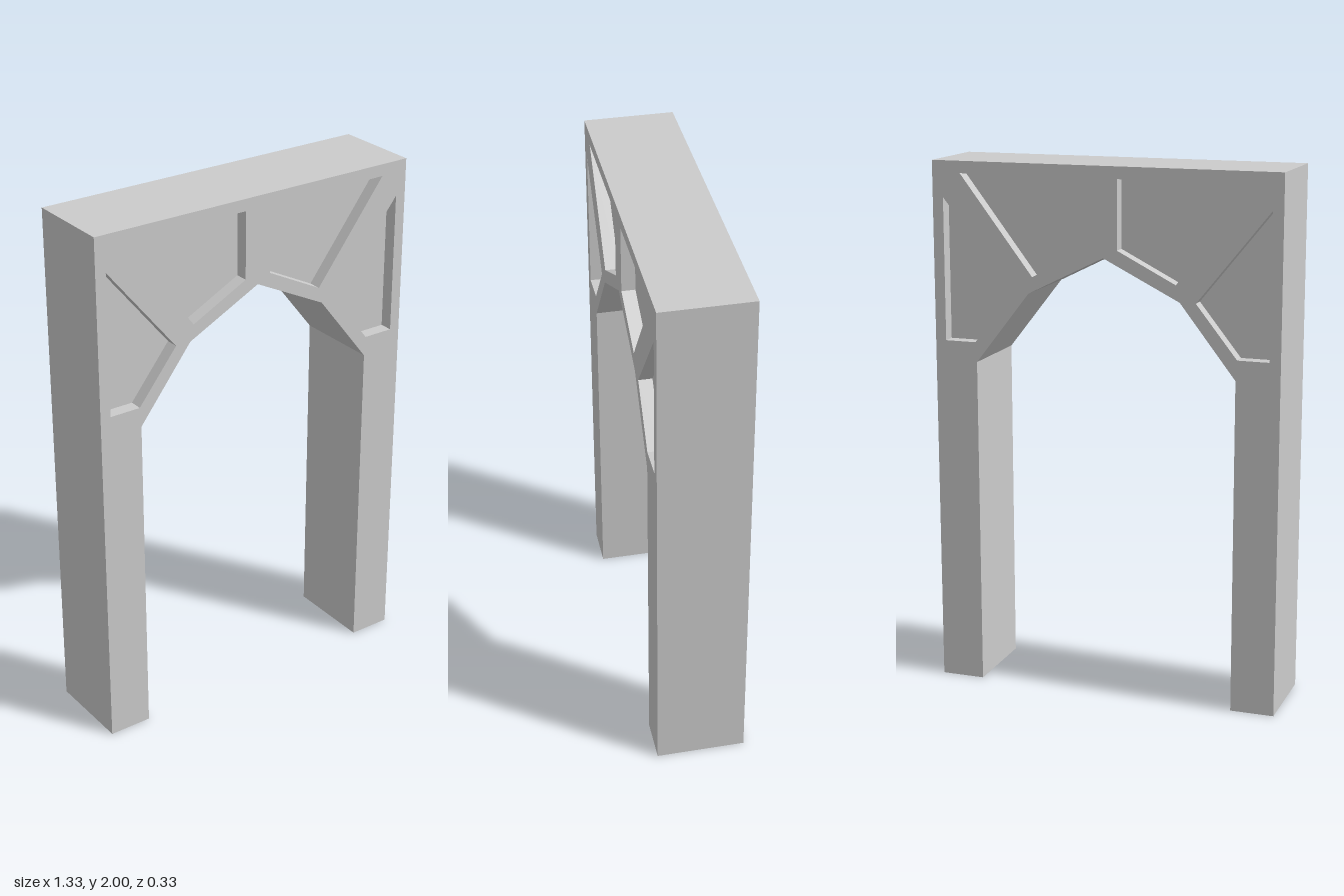
import * as THREE from 'three';

const HALF_DEPTH = 0.167;
const RECESS = 0.05;

const material = new THREE.MeshStandardMaterial({
  color: 0xcccccc, flatShading: true, side: THREE.DoubleSide,
});

const toVectors = (pts) => pts.map(([x, y]) => new THREE.Vector2(x, y));
const mirror = (pts) => pts.map(([x, y]) => [-x, y]).reverse();

function addMesh(parent, name, geometry, z = 0) {
  const mesh = new THREE.Mesh(geometry, material);
  mesh.name = name;
  mesh.position.z = z;
  parent.add(mesh);
}

// Wall swept in z along a path; it faces the left of the direction of travel
function wall(pts, zFront, zBack, closed) {
  const pos = [];
  const count = closed ? pts.length : pts.length - 1;
  for (let i = 0; i < count; i++) {
    const [ax, ay] = pts[i];
    const [bx, by] = pts[(i + 1) % pts.length];
    pos.push(ax, ay, zFront, bx, by, zFront, bx, by, zBack);
    pos.push(ax, ay, zFront, bx, by, zBack, ax, ay, zBack);
  }
  const geometry = new THREE.BufferGeometry();
  geometry.setAttribute('position', new THREE.Float32BufferAttribute(pos, 3));
  geometry.computeVertexNormals();
  return geometry;
}

export function createModel() {
  const model = new THREE.Group();
  model.name = 'archway';

  // Outer frame and the faceted underside of the arch
  const outer = [[-0.665, 0], [-0.665, 2], [0.665, 2], [0.665, 0]];
  const inner = [
    [0.5, 0], [0.5, 1.255], [0.29, 1.525], [0, 1.67],
    [-0.29, 1.525], [-0.5, 1.255], [-0.5, 0],
  ];
  addMesh(model, 'outerWalls', wall(outer, HALF_DEPTH, -HALF_DEPTH, false));
  addMesh(model, 'archUnderside', wall(inner, HALF_DEPTH, -HALF_DEPTH, false));

  // Sunken panels, two on each side of the middle
  const upperPanel = [[0.053, 1.955], [0.053, 1.7], [0.275, 1.587], [0.555, 1.955]];
  const sidePanel = [[0.624, 1.865], [0.35, 1.525], [0.505, 1.33], [0.624, 1.33]];
  const panels = [upperPanel, sidePanel, mirror(upperPanel), mirror(sidePanel)];

  // The same panelled face on front and back; the feet stay open
  for (const side of ['front', 'back']) {
    const face = new THREE.Group();
    face.name = side + 'Face';
    const shape = new THREE.Shape(toVectors([...outer, ...inner]));
    shape.holes = panels.map((p) => new THREE.Path(toVectors(p)));
    addMesh(face, side + 'Surface', new THREE.ShapeGeometry(shape), HALF_DEPTH);
    for (const p of panels) {
      const floor = new THREE.ShapeGeometry(new THREE.Shape(toVectors(p)));
      addMesh(face, 'panelFloor', floor, HALF_DEPTH - RECESS);
      addMesh(face, 'panelRim', wall(p, HALF_DEPTH, HALF_DEPTH - RECESS, true));
    }
    if (side === 'back') face.rotation.y = Math.PI;
    model.add(face);
  }
  return model;
}
